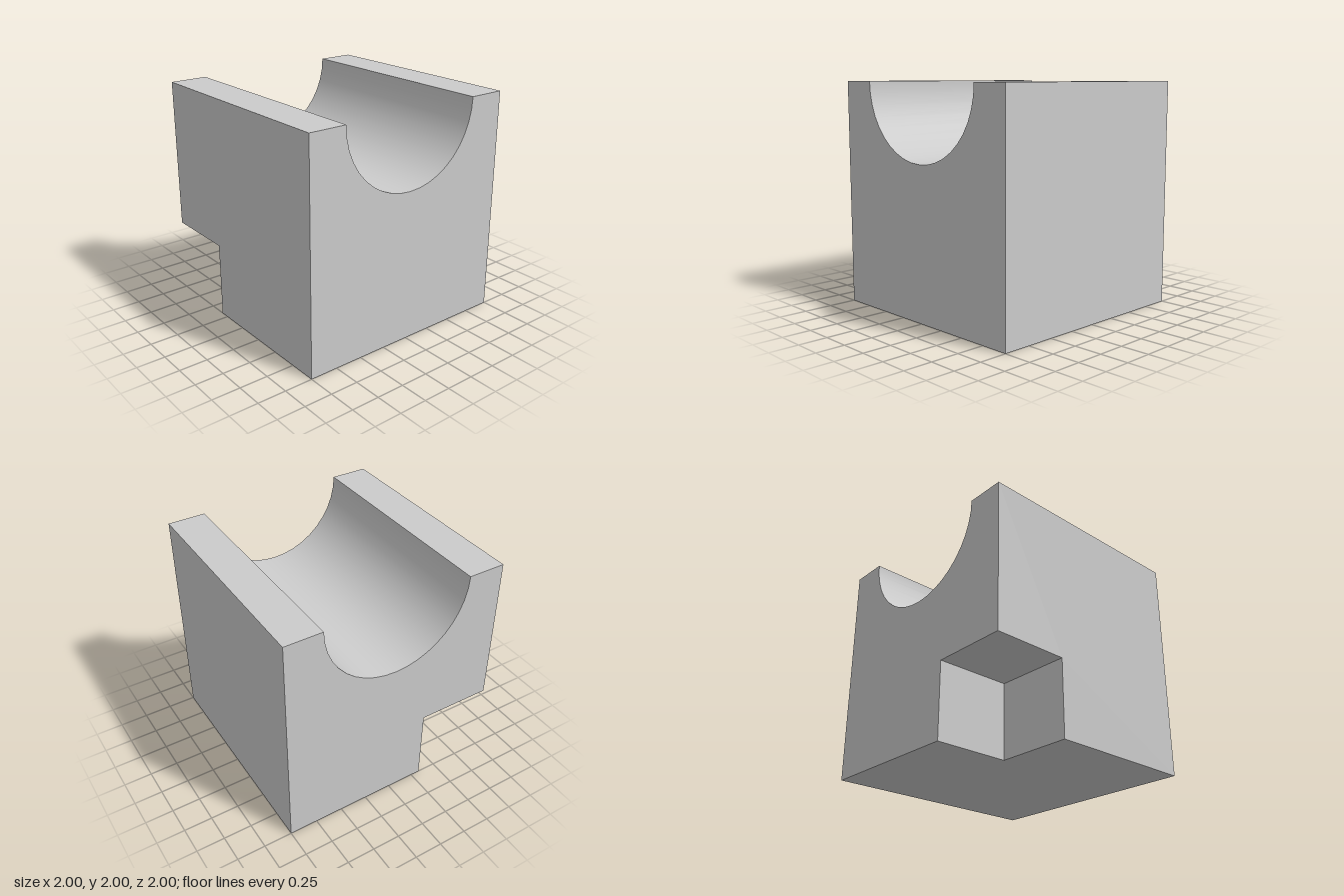
import * as THREE from 'three';
import { mergeGeometries } from 'three/addons/utils/BufferGeometryUtils.js';

const T = 1 / 3;          // the block is divided in thirds
const R = 2 * T;          // trough radius
const ARC_STEPS = 20;
const { PI } = Math;

// Flat panel from 2D corners, pushed out along its normal, then turned to face its side
function panel(corners, distance, rotX = 0, rotY = 0) {
  const shape = new THREE.Shape(corners.map(([u, v]) => new THREE.Vector2(u, v)));
  return new THREE.ShapeGeometry(shape).translate(0, 0, distance).rotateX(rotX).rotateY(rotY);
}

const rect = (u0, v0, u1, v1) => [[u0, v0], [u1, v0], [u1, v1], [u0, v1]];

// Semicircular trough edge, from the right rim to the left rim
function troughArc() {
  return Array.from({ length: ARC_STEPS + 1 }, (_, i) => {
    const a = (i / ARC_STEPS) * PI;
    return [R * Math.cos(a), 2 - R * Math.sin(a)];
  });
}

export function createModel() {
  const group = new THREE.Group();
  const material = new THREE.MeshStandardMaterial({ color: 0xcccccc });
  const add = (name, geometry, mat = material) => {
    const mesh = new THREE.Mesh(geometry, mat);
    mesh.name = name;
    group.add(mesh);
    return mesh;
  };

  // Outer faces of the block
  const rims = [[1, 2], ...troughArc(), [-1, 2]];
  add('block', mergeGeometries([
    panel([[-T, 0], [1, 0], [1, 2], [-1, 2], [-1, R], [-T, R]], 1),             // front
    panel(rect(-1, 0, 1, 2), 1, 0, PI),                                         // back
    panel([[-1, 0], [1, 0], ...rims], 1, 0, PI / 2),                            // +x end
    panel([[-1, 0], [T, 0], [T, R], [1, R], ...rims], 1, 0, -PI / 2),           // -x end
    panel(rect(-1, R, 1, 1), 2, -PI / 2),                                       // rear rim
    panel(rect(-1, -1, 1, -R), 2, -PI / 2),                                     // front rim
    panel([[-1, -1], [1, -1], [1, 1], [-T, 1], [-T, T], [-1, T]], 0, PI / 2),   // underside
  ]));

  // Cube-shaped notch in the lower front corner
  add('cornerNotch', mergeGeometries([
    panel(rect(-1, 0, -T, R), T),                   // rear wall
    panel(rect(T, 0, 1, R), T, 0, -PI / 2),         // side wall
    panel(rect(-1, T, -T, 1), -R, PI / 2),          // ceiling
  ]));

  // Smooth half-round trough along the top
  const trough = new THREE.CylinderGeometry(R, R, 2, ARC_STEPS, 1, true, PI, PI).rotateZ(PI / 2);
  const inside = material.clone();
  inside.side = THREE.DoubleSide;
  add('trough', trough, inside).position.y = 2;

  return group;
}
